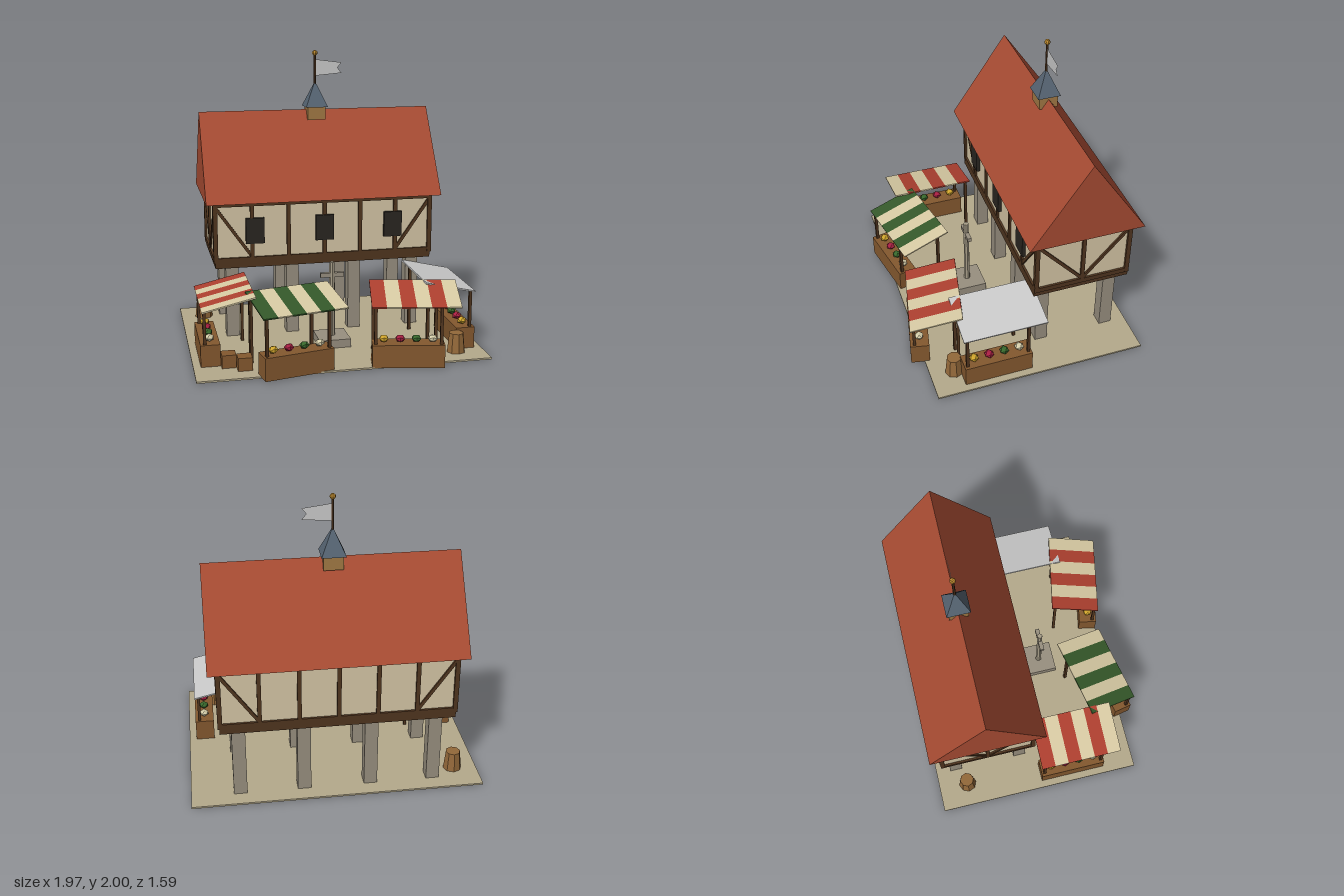
import * as THREE from 'three';

const mat = (color, extra = {}) => new THREE.MeshStandardMaterial({ color, flatShading: true, ...extra });
const M = {
  ground: mat(0xb5aa8c), stone: mat(0x999080), plaster: mat(0xd6c7a6), timber: mat(0x50351f),
  roof: mat(0xa84c33), wood: mat(0x85592f), barrel: mat(0x94693a), turret: mat(0xa37a45),
  slate: mat(0x566472), gold: mat(0xb8862d), window: mat(0x2a2621), grey: mat(0xcccccc),
  flag: mat(0xcccccc, { side: THREE.DoubleSide }),
  red: mat(0xad3f2f), green: mat(0x35592a), cream: mat(0xd8cba4),
  yellow: mat(0xd0a52c), crimson: mat(0xa81f42), leaf: mat(0x38682c), pale: mat(0xd6ceaa),
};

function add(parent, name, geometry, material, x = 0, y = 0, z = 0) {
  const mesh = new THREE.Mesh(geometry, material);
  mesh.name = name;
  mesh.position.set(x, y, z);
  parent.add(mesh);
  return mesh;
}
const box = (parent, name, material, w, h, d, x, y, z) =>
  add(parent, name, new THREE.BoxGeometry(w, h, d), material, x, y, z);

function group(parent, name, x = 0, y = 0, z = 0, turn = 0) {
  const g = new THREE.Group();
  g.name = name;
  g.position.set(x, y, z);
  g.rotation.y = turn;
  parent.add(g);
  return g;
}

// Timber frame of one wall, facing local +z
function timberFrame(parent, name, width, bays, x, z, turn) {
  const g = group(parent, name, x, 0, z, turn);
  const half = width / 2 - 0.0125;
  box(g, 'topRail', M.timber, width, 0.03, 0.03, 0, 0.975, 0);
  box(g, 'sillRail', M.timber, width, 0.035, 0.03, 0, 0.58, 0);
  for (let i = 0; i <= bays; i++) {
    box(g, 'stud', M.timber, 0.027, 0.42, 0.03, -half + (2 * half * i) / bays, 0.775, 0);
  }
  // Braces run from the top outer corners down to the next stud
  const bay = (2 * half) / bays;
  for (const s of [-1, 1]) {
    const brace = box(g, 'brace', M.timber, Math.hypot(bay, 0.37), 0.022, 0.024,
      s * (half - bay / 2), 0.78, 0);
    brace.rotation.z = s * Math.atan2(0.37, bay);
  }
}

function buildHall(parent) {
  const hall = group(parent, 'hall', 0, 0, -0.395);
  for (const x of [-0.655, -0.225, 0.225, 0.655]) {
    for (const z of [-0.245, 0.245]) box(hall, 'stonePost', M.stone, 0.09, 0.53, 0.09, x, 0.27, z);
  }
  box(hall, 'floorBeam', M.timber, 1.55, 0.045, 0.68, 0, 0.548, 0);
  box(hall, 'walls', M.plaster, 1.54, 0.43, 0.65, 0, 0.78, 0);
  timberFrame(hall, 'frontFrame', 1.57, 6, 0, 0.325, 0);
  timberFrame(hall, 'backFrame', 1.57, 6, 0, -0.325, Math.PI);
  timberFrame(hall, 'leftFrame', 0.68, 2, 0.77, 0, Math.PI / 2);
  timberFrame(hall, 'rightFrame', 0.68, 2, -0.77, 0, -Math.PI / 2);
  for (const x of [-0.495, 0, 0.495]) box(hall, 'window', M.window, 0.13, 0.18, 0.04, x, 0.785, 0.33);

  // Solid gabled roof
  const gable = new THREE.Shape([
    new THREE.Vector2(-0.4, 0.99), new THREE.Vector2(0.4, 0.99), new THREE.Vector2(0, 1.58)]);
  const roof = new THREE.ExtrudeGeometry(gable, { depth: 1.67, bevelEnabled: false });
  roof.translate(0, 0, -0.835);
  add(hall, 'roof', roof, M.roof).rotation.y = Math.PI / 2;

  // Ridge turret with spire, pole, ball and swallow-tailed flag
  const turret = group(hall, 'turret');
  box(turret, 'turretBase', M.turret, 0.13, 0.1, 0.13, 0, 1.56, 0);
  const spire = new THREE.ConeGeometry(0.08 * Math.SQRT2, 0.18, 4);
  add(turret, 'spire', spire, M.slate, 0, 1.69, 0).rotation.y = Math.PI / 4;
  add(turret, 'flagPole', new THREE.CylinderGeometry(0.009, 0.009, 0.24, 6), M.timber, 0, 1.86, 0);
  add(turret, 'poleBall', new THREE.SphereGeometry(0.02, 8, 6), M.gold, 0, 1.98, 0);
  const flag = new THREE.Shape([[0, 1.935], [0.195, 1.91], [0.165, 1.873], [0.195, 1.835], [0, 1.818]]
    .map(([x, y]) => new THREE.Vector2(x, y)));
  add(turret, 'flag', new THREE.ShapeGeometry(flag), M.flag);
}

// Market stall facing local +z, with a striped sloping canopy
function buildStall(parent, name, x, z, turn, colors) {
  const g = group(parent, name, x, 0, z, turn);
  box(g, 'counter', M.wood, 0.475, 0.155, 0.13, 0, 0.083, 0.115);
  for (const px of [-0.215, 0.215]) {
    box(g, 'frontPost', M.timber, 0.02, 0.41, 0.02, px, 0.21, 0.15);
    box(g, 'backPost', M.timber, 0.02, 0.475, 0.02, px, 0.243, -0.15);
  }
  const canopy = group(g, 'canopy', 0, 0.455, 0);
  canopy.rotation.x = 0.225;
  for (let i = 0; i < 6; i++) {
    box(canopy, 'canopyStripe', colors[i % 2], 0.0975, 0.01, 0.36, -0.195 + i * 0.0975, 0, 0);
  }
  [M.yellow, M.crimson, M.leaf, M.pale].forEach((m, i) => {
    const fruit = add(g, 'produce', new THREE.IcosahedronGeometry(0.034, 0), m, -0.16 + i * 0.107, 0.187, 0.115);
    fruit.scale.y = 0.75;
  });
}

// Stepped stone with a cross on a shaft
function buildCross(parent) {
  const g = group(parent, 'marketCross', 0, 0, 0.175);
  box(g, 'crossBase', M.stone, 0.22, 0.06, 0.225, 0, 0.04, 0);
  add(g, 'crossShaft', new THREE.CylinderGeometry(0.019, 0.022, 0.53, 8), M.pale.clone(), 0, 0.33, 0)
    .material.color.set(0xa79d88);
  box(g, 'crossArm', M.stone, 0.165, 0.03, 0.03, 0, 0.505, 0);
}

export function createModel() {
  const model = new THREE.Group();
  model.name = 'marketHall';
  box(model, 'ground', M.ground, 1.97, 0.012, 1.475, 0, 0.006, -0.055);
  buildHall(model);
  buildCross(model);
  buildStall(model, 'greenStall', -0.36, 0.535, 0.2, [M.green, M.cream]);
  buildStall(model, 'redStall', 0.427, 0.55, -0.2, [M.red, M.cream]);
  buildStall(model, 'rightStall', -0.755, 0.21, -Math.PI / 2, [M.red, M.cream]);
  buildStall(model, 'leftStall', 0.755, 0.238, Math.PI / 2, [M.grey, M.grey]);
  for (const [x, z] of [[-0.82, -0.58], [0.79, 0.515]]) {
    add(model, 'barrel', new THREE.CylinderGeometry(0.05, 0.064, 0.135, 8), M.barrel, x, 0.078, z);
  }
  for (const [x, z] of [[-0.755, 0.45], [-0.658, 0.52]]) {
    box(model, 'crate', M.wood, 0.095, 0.09, 0.095, x, 0.055, z);
  }
  return model;
}
